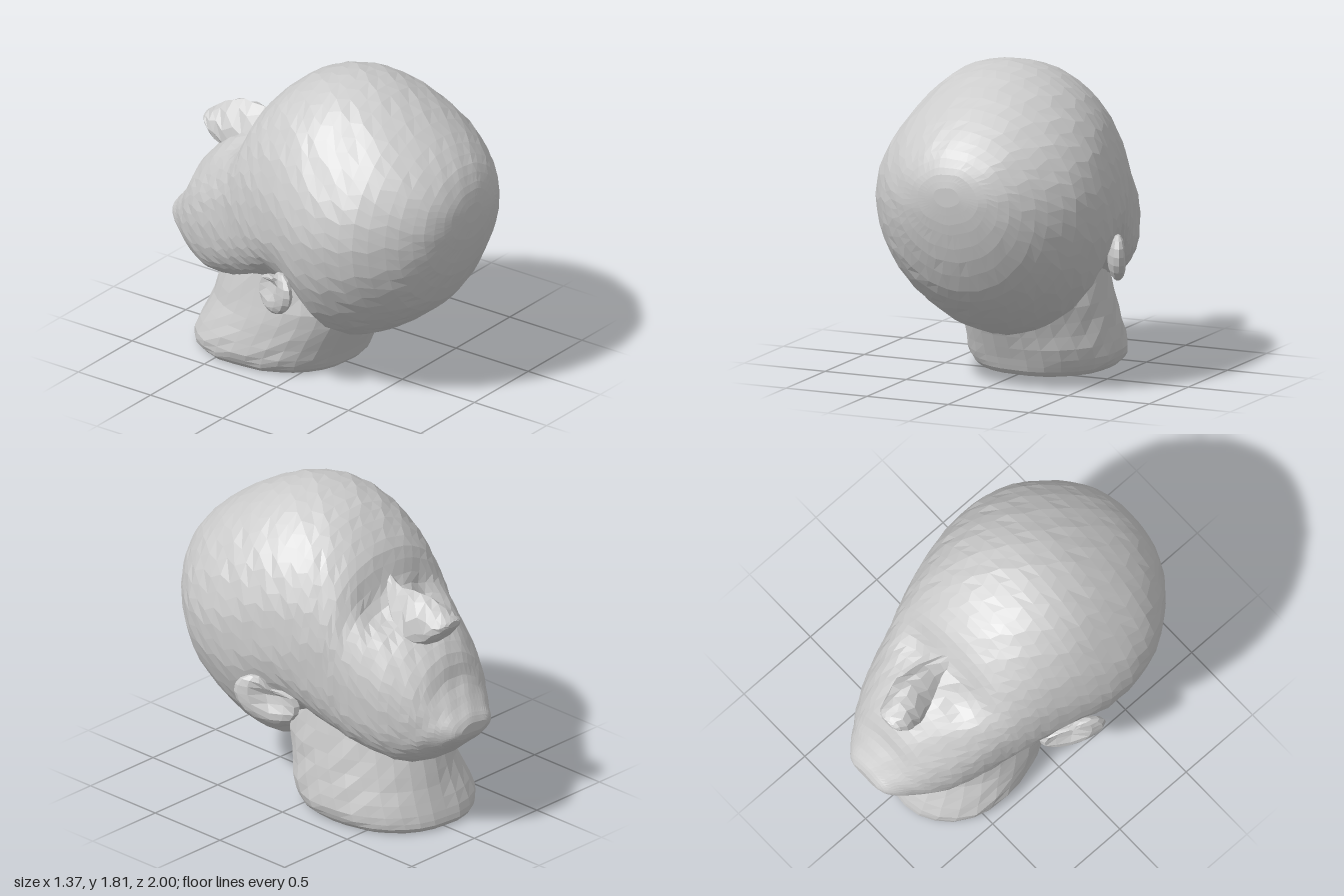
import * as THREE from 'three';

const material = new THREE.MeshStandardMaterial({ color: 0xcccccc, flatShading: true, side: THREE.DoubleSide });
const { smoothstep } = THREE.MathUtils;

// Smoothly interpolated cross-section table; t runs 0..1 over the rows
function sampler(rows) {
  const a = new THREE.CatmullRomCurve3(rows.map(r => new THREE.Vector3(r[0], r[1], r[2])), false, 'catmullrom', 0.4);
  const b = new THREE.CatmullRomCurve3(rows.map(r => new THREE.Vector3(r[3], r[4] ?? 0, r[5] ?? 0)), false, 'catmullrom', 0.4);
  return t => [...a.getPoint(t).toArray(), ...b.getPoint(t).toArray()];
}

// Loft of superellipses from back (+z) to face (-z), squarer below toward the face
// Row: z, top y, bottom y, half width, y of the widest point, exponent
function loft(rows, loops, sides, shape) {
  const at = sampler(rows), pos = [], index = [], p = new THREE.Vector3();
  const power = (v, e) => Math.sign(v) * Math.pow(Math.abs(v), 2 / e);
  for (let i = 0; i < loops; i++) {
    const [z, top, bottom, w, mid, exponent] = at(i / (loops - 1));
    for (let j = 0; j < sides; j++) {
      const ang = (j + (i % 2) * 0.35) / sides * Math.PI * 2, sin = Math.sin(ang);
      const e = exponent + (sin < 0 ? 0.5 * smoothstep(-z, -0.1, 0.3) : 0);
      const s = power(sin, e);
      p.set(w * power(Math.cos(ang), e), mid + s * (s > 0 ? top - mid : mid - bottom), z);
      shape(p);
      pos.push(p.x, p.y, p.z);
    }
  }
  for (let i = 0; i < loops - 1; i++) for (let j = 0; j < sides; j++) {
    const k = (j + 1) % sides, a = i * sides + j, b = i * sides + k, c = a + sides, d = b + sides;
    index.push(a, c, b, b, c, d);
  }
  // End caps
  const first = rows[0], last = rows[rows.length - 1], n = loops * sides;
  pos.push(0, first[4], first[0], 0, last[4], last[0]);
  for (let j = 0; j < sides; j++) {
    const k = (j + 1) % sides, o = (loops - 1) * sides;
    index.push(n, j, k, n + 1, o + k, o + j);
  }
  const g = new THREE.BufferGeometry();
  g.setAttribute('position', new THREE.Float32BufferAttribute(pos, 3));
  g.setIndex(index);
  g.computeVertexNormals();
  return g;
}

const headRows = [
  [1.0, 1.23, 1.12, 0.08, 1.17, 2],
  [0.98, 1.32, 0.99, 0.21, 1.15, 2],
  [0.92, 1.43, 0.79, 0.35, 1.12, 2],
  [0.8, 1.545, 0.57, 0.49, 1.09, 2],
  [0.62, 1.67, 0.42, 0.62, 1.07, 1.95],
  [0.42, 1.77, 0.3, 0.672, 1.06, 1.93],
  [0.24, 1.81, 0.27, 0.665, 1.05, 2],
  [0.08, 1.795, 0.46, 0.63, 1.04, 2.1],
  [-0.08, 1.74, 0.54, 0.585, 1.02, 2.15],
  [-0.2, 1.655, 0.51, 0.545, 1.0, 2.2],
  [-0.31, 1.54, 0.475, 0.505, 0.96, 2.25],
  [-0.39, 1.375, 0.45, 0.475, 0.92, 2.4],
  [-0.51, 1.285, 0.42, 0.44, 0.86, 2.25],
  [-0.66, 1.19, 0.4, 0.385, 0.79, 2.05],
  [-0.79, 1.065, 0.455, 0.31, 0.73, 2],
  [-0.86, 0.915, 0.51, 0.255, 0.7, 2],
  [-0.93, 0.815, 0.57, 0.2, 0.68, 2],
  [-0.98, 0.755, 0.62, 0.15, 0.68, 2],
  [-1.0, 0.715, 0.66, 0.1, 0.685, 2]
];

const noseRows = [
  [-0.35, 1.43, 1.2, 0.06, 1.26, 1.8],
  [-0.46, 1.385, 1.15, 0.1, 1.2, 1.5],
  [-0.58, 1.4, 1.1, 0.13, 1.17, 1.5],
  [-0.68, 1.385, 1.1, 0.135, 1.18, 1.6],
  [-0.76, 1.345, 1.15, 0.11, 1.23, 1.7],
  [-0.82, 1.3, 1.22, 0.075, 1.26, 1.9],
  [-0.84, 1.285, 1.25, 0.04, 1.265, 2]
];

// Eye sockets, mouth crease and a flat on the upper right skull, with slight unevenness
function sculptHead(p) {
  const eye = Math.exp(-((Math.abs(p.x) - 0.19) ** 2 + (p.y - 1.29) ** 2 + (p.z + 0.46) ** 2) / 0.011);
  const mouth = Math.exp(-((p.x / 3) ** 2 + (p.y - 0.92) ** 2 + (p.z + 0.86) ** 2) / 0.0015);
  const flat = Math.exp(-((p.x + 0.52) ** 2 + (p.y - 1.47) ** 2 + (p.z - 0.35) ** 2) / 0.06);
  p.y -= 0.04 * eye + 0.012 * flat;
  p.z += 0.035 * eye + 0.012 * mouth;
  p.x += 0.003 * Math.sin(p.y * 41 + p.z * 37) - 0.01 * smoothstep(p.z, -0.1, 0.3) + 0.02 * flat;
  p.y += 0.003 * Math.sin(p.x * 43 + p.z * 31);
}

// Nose: slightly crooked, with uneven flanks
function sculptNose(p) {
  p.x += 0.04 * smoothstep(-p.z, 0.3, 0.45) * (1 - smoothstep(-p.z, 0.6, 0.8));
  p.x *= 1 + 0.07 * Math.sin(p.z * 33 + p.y * 23);
}

// Neck: cylinder moved onto leaning oval sections, its base drawn out along one diagonal
function neckGeometry() {
  const g = new THREE.CylinderGeometry(1, 1, 1, 30, 10), v = g.attributes.position;
  // Row: y, back z, front z, half width
  const at = sampler([
    [0, 0.11, -0.765, 0.385],
    [0.03, 0.14, -0.785, 0.415],
    [0.1, 0.17, -0.77, 0.44],
    [0.24, 0.24, -0.725, 0.425],
    [0.4, 0.31, -0.685, 0.4],
    [0.62, 0.25, -0.6, 0.36]
  ]);
  for (let i = 0; i < v.count; i++) {
    const [y, back, front, w] = at(v.getY(i) + 0.5);
    const x = v.getX(i), z = v.getZ(i);
    const lump = 1 + 0.015 * Math.sin(x * 9 + y * 37) * Math.cos(z * 11);
    const corner = 1 + 0.2 * Math.max(0, x * z) * (1 - smoothstep(y, 0.1, 0.35));
    v.setXYZ(i, x * w * lump * corner - 0.01, y, (back + front) / 2 + z * corner * (back - front) / 2);
  }
  g.computeVertexNormals();
  return g;
}

// Ear: flattened shell, hollow on its outer face, rim cut away toward the upper front
function earGeometry() {
  const g = new THREE.SphereGeometry(1, 12, 9), v = g.attributes.position;
  for (let i = 0; i < v.count; i++) {
    const x = v.getX(i), y = v.getY(i), z = v.getZ(i);
    const hollow = x > 0 ? 1.3 * Math.exp(-((y - 0.1) ** 2 + (z + 0.2) ** 2) / 0.3) : 0;
    const cut = 1 - 0.5 * Math.exp(-((y - 0.75) ** 2 + (z + 0.55) ** 2) / 0.2);
    v.setXYZ(i, (x - hollow) * 0.06, y * 0.145 * cut, z * 0.185 * cut + y * 0.045);
  }
  g.computeVertexNormals();
  return g;
}

export function createModel() {
  const model = new THREE.Group();
  const add = (name, geometry) => {
    const mesh = new THREE.Mesh(geometry, material);
    mesh.name = name;
    model.add(mesh);
    return mesh;
  };
  add('head', loft(headRows, 46, 46, sculptHead));
  add('nose', loft(noseRows, 11, 12, sculptNose));
  add('neck', neckGeometry());

  // Ears flare outward at their rear edge; the right one sits lower
  for (const [name, side, x, y] of [['leftEar', 1, 0.585, 0.715], ['rightEar', -1, 0.57, 0.635]]) {
    const ear = add(name, earGeometry());
    ear.position.set(side * x, y, 0.04);
    ear.rotation.y = side * 0.48;
    ear.scale.x = side;
  }
  return model;
}
